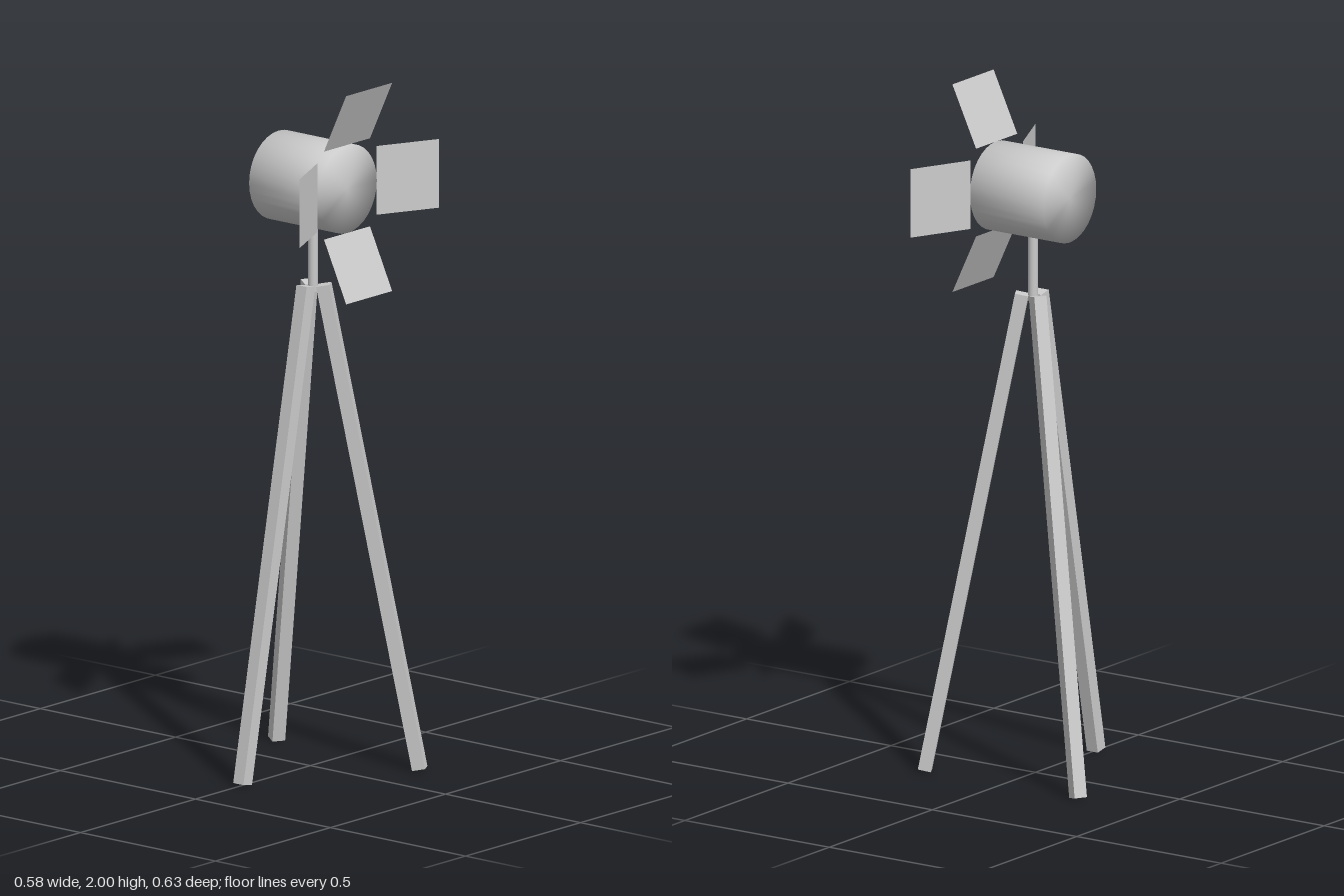
import * as THREE from 'three';
import { mergeVertices } from 'three/addons/utils/BufferGeometryUtils.js';

const grey = new THREE.MeshStandardMaterial({ color: 0xcccccc });
const greyThin = new THREE.MeshStandardMaterial({ color: 0xcccccc, side: THREE.DoubleSide });

function addMesh(parent, name, geometry, material = grey) {
  const mesh = new THREE.Mesh(geometry, material);
  mesh.name = name;
  parent.add(mesh);
  return mesh;
}

// Capped drum lying along x, shaded smoothly across its rims
function drumGeometry(radius, length) {
  const g = new THREE.CylinderGeometry(radius, radius, length, 32);
  g.deleteAttribute('normal');
  g.deleteAttribute('uv');
  const smooth = mergeVertices(g);
  smooth.computeVertexNormals();
  return smooth.rotateZ(-Math.PI / 2);
}

export function createModel() {
  const model = new THREE.Group();
  model.name = 'tripodSpotlight';
  const axisZ = -0.011;

  // Tripod: three square legs, 120 degrees apart, one pointing forward
  const tripod = new THREE.Group();
  tripod.name = 'tripod';
  tripod.position.z = axisZ;
  model.add(tripod);
  const top = new THREE.Vector3(0, 1.4, 0.031);
  const foot = new THREE.Vector3(0, 0.004, 0.306);
  const tilt = Math.atan2(foot.z - top.z, top.y - foot.y);
  ['frontLeg', 'backLeftLeg', 'backRightLeg'].forEach((name, i) => {
    const pivot = new THREE.Group();
    pivot.name = name;
    pivot.rotation.y = (i * 2 * Math.PI) / 3;
    tripod.add(pivot);
    const bar = addMesh(pivot, name + 'Bar', new THREE.BoxGeometry(0.038, top.distanceTo(foot), 0.038));
    bar.position.copy(top).add(foot).multiplyScalar(0.5);
    bar.rotation.x = -tilt;
  });

  // Post between the legs and the lamp
  const post = addMesh(tripod, 'post', new THREE.CylinderGeometry(0.014, 0.014, 0.22, 16));
  post.position.y = 1.49;

  // Lamp head facing +x
  const head = new THREE.Group();
  head.name = 'lampHead';
  head.position.set(0, 1.697, axisZ);
  model.add(head);
  const radius = 0.128;
  addMesh(head, 'lampDrum', drumGeometry(radius, 0.255));

  // Four flaring barn doors around the front rim
  const rise = 0.175, flare = 0.082;
  ['topFlap', 'frontFlap', 'bottomFlap', 'backFlap'].forEach((name, i) => {
    const pivot = new THREE.Group();
    pivot.name = name;
    pivot.position.x = 0.126;
    pivot.rotation.x = (i * Math.PI) / 2;
    head.add(pivot);
    const sheet = new THREE.PlaneGeometry(0.2, Math.hypot(rise, flare)).rotateY(Math.PI / 2);
    const flap = addMesh(pivot, name + 'Sheet', sheet, greyThin);
    flap.position.set(flare / 2, radius + rise / 2, 0);
    flap.rotation.z = -Math.atan2(flare, rise);
  });

  return model;
}
